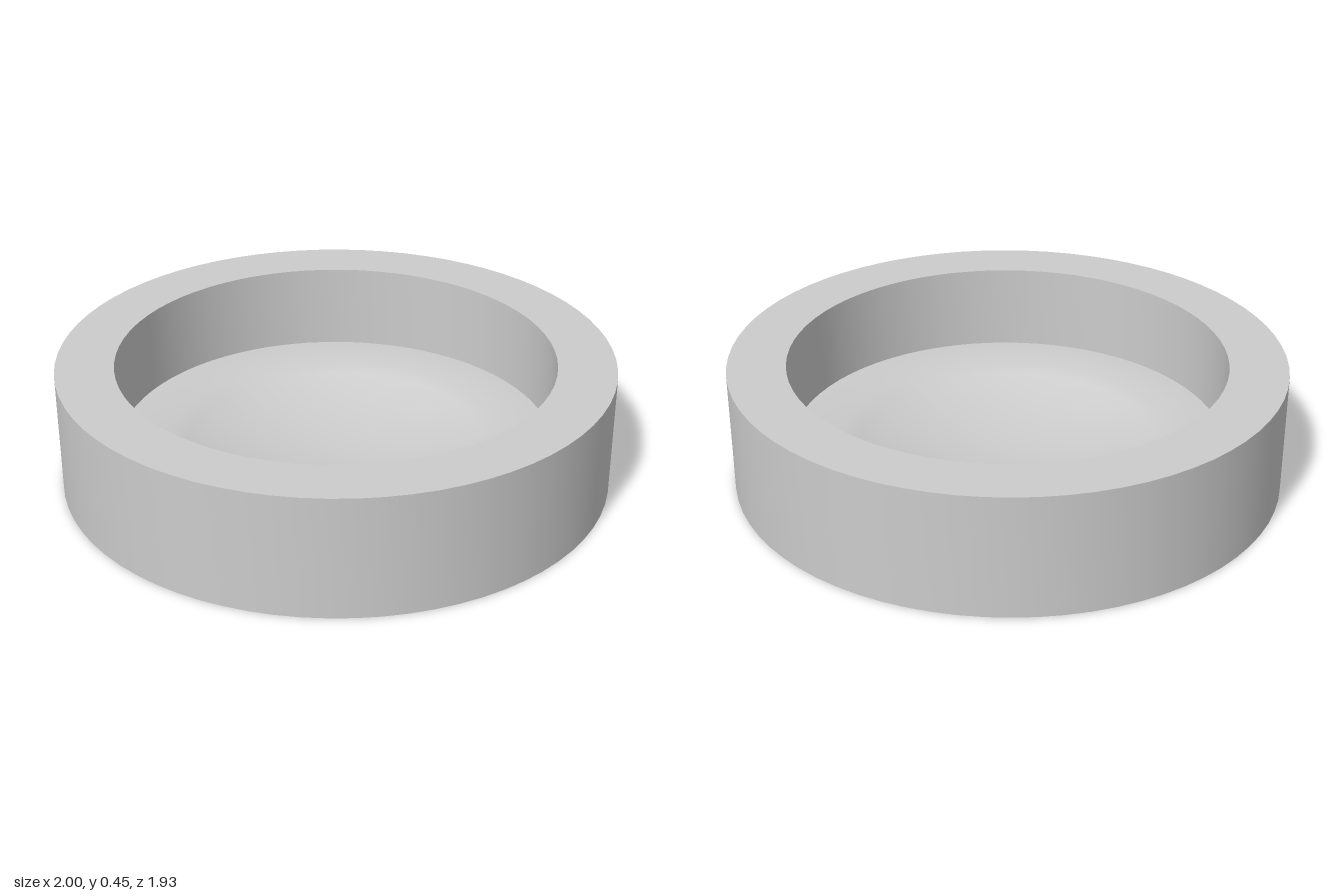
import * as THREE from 'three';
import { toCreasedNormals } from 'three/addons/utils/BufferGeometryUtils.js';

const DEPTH_RATIO = 0.965; // slightly oval footprint
const HEIGHT = 0.45, FLOOR = 0.13;
const OUTER = 1, INNER = 0.79;
const DISH_RADIUS = 0.6, DISH_DEPTH = 0.11;

const material = new THREE.MeshStandardMaterial({ color: 0xcccccc });

// Revolves [radius, height] pairs into an oval part with sharp edges kept
function ovalPart(name, profile) {
  const points = profile.map(([r, y]) => new THREE.Vector2(r, y));
  const geometry = new THREE.LatheGeometry(points, 72);
  geometry.scale(1, 1, DEPTH_RATIO);
  const mesh = new THREE.Mesh(toCreasedNormals(geometry, Math.PI / 6), material);
  mesh.name = name;
  return mesh;
}

export function createModel() {
  const group = new THREE.Group();
  group.name = 'ovalTray';

  // Thick upright wall with a flat top
  group.add(ovalPart('rim', [
    [INNER, 0], [OUTER, 0], [OUTER, HEIGHT], [INNER, HEIGHT], [INNER, FLOOR],
  ]));

  // Flat-bottomed base whose floor has a shallow spherical hollow
  const base = [[0, 0], [INNER, 0], [INNER, FLOOR]];
  const sphere = (DISH_RADIUS ** 2 + DISH_DEPTH ** 2) / (2 * DISH_DEPTH);
  const steps = 12;
  for (let i = 0; i <= steps; i++) {
    const r = DISH_RADIUS * (1 - i / steps);
    base.push([r, FLOOR - DISH_DEPTH + sphere - Math.sqrt(sphere ** 2 - r ** 2)]);
  }
  group.add(ovalPart('dishedBase', base));

  return group;
}
